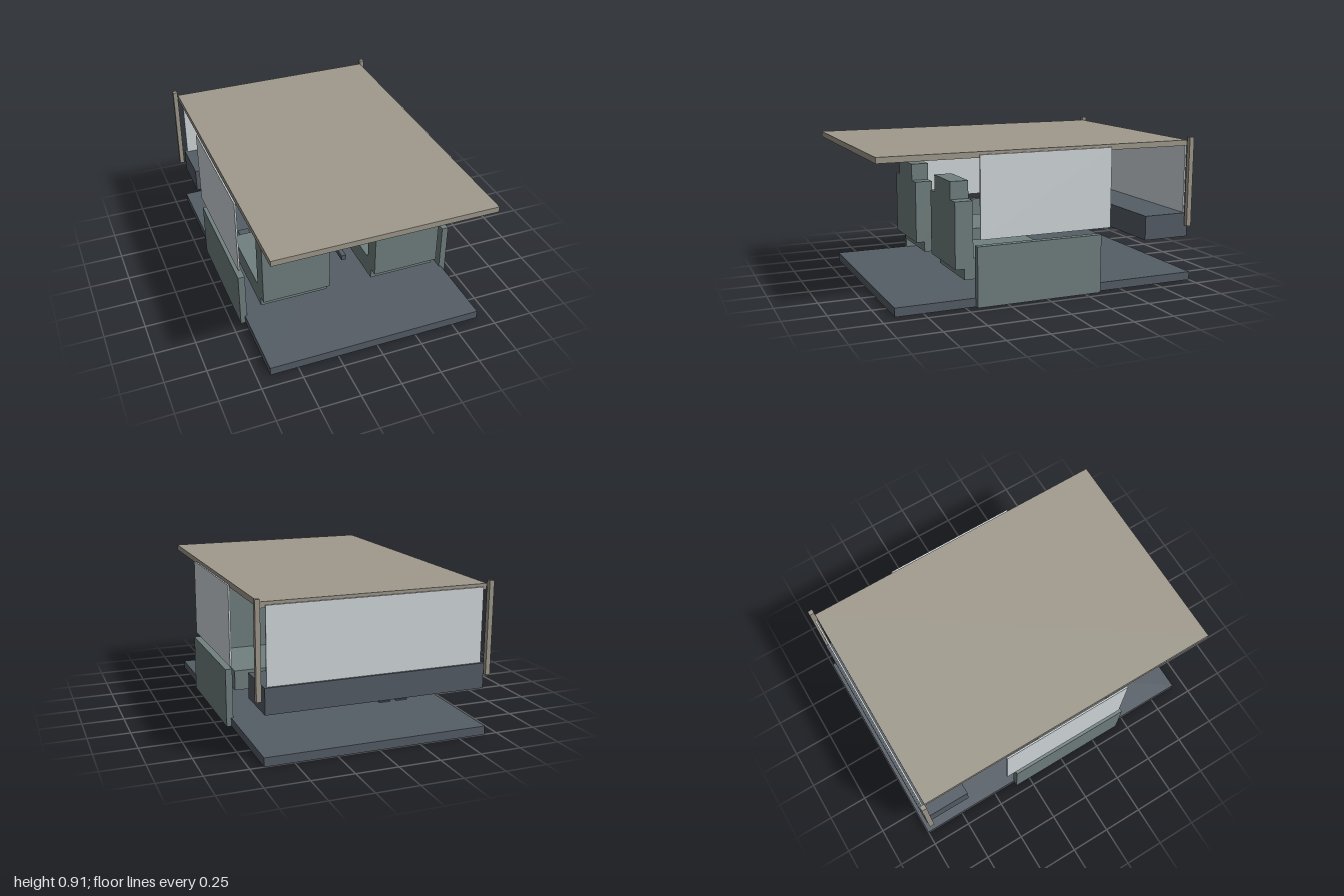
import * as THREE from 'three';

const mat = (color) => new THREE.MeshStandardMaterial({ color });
const dark = mat(0x555d66);
const fabric = mat(0x71807f);
const beige = mat(0xa09a8d);
const glass = mat(0xd3dadd);
const metal = mat(0x6c7070);

// Box given by its min and max along each axis
function box(name, material, [x0, x1], [y0, y1], [z0, z1]) {
  const mesh = new THREE.Mesh(new THREE.BoxGeometry(x1 - x0, y1 - y0, z1 - z0), material);
  mesh.position.set((x0 + x1) / 2, (y0 + y1) / 2, (z0 + z1) / 2);
  mesh.name = name;
  return mesh;
}

// Square outline with chamfered corners
function chamferedSquare(PathType, r, c) {
  const pts = [[r, c - r], [r, r - c], [r - c, r], [c - r, r], [-r, r - c], [-r, c - r], [c - r, -r], [r - c, -r]];
  return new PathType(pts.map(([x, y]) => new THREE.Vector2(x, y)));
}

function createSeat(x) {
  const seat = new THREE.Group();
  seat.name = 'seat';
  const pedestal = new THREE.Mesh(new THREE.CylinderGeometry(0.043, 0.043, 0.135, 24), metal);
  pedestal.name = 'seatPedestal';
  pedestal.position.set(0, 0.0675, 0.2);
  seat.add(
    pedestal,
    box('seatCushion', fabric, [-0.212, 0.212], [0.135, 0.26], [-0.1, 0.47]),
    box('seatBack', fabric, [-0.212, 0.212], [0.2, 0.595], [0.415, 0.525]),
    box('headrest', fabric, [-0.138, 0.138], [0.595, 0.7], [0.415, 0.525]),
  );
  seat.position.x = x;
  return seat;
}

function createSteeringWheel() {
  const wheel = new THREE.Group();
  wheel.name = 'steeringWheel';
  const shape = chamferedSquare(THREE.Shape, 0.133, 0.03);
  shape.holes.push(chamferedSquare(THREE.Path, 0.108, 0.022));
  const rim = new THREE.Mesh(new THREE.ExtrudeGeometry(shape, { depth: 0.025, bevelEnabled: false }), dark);
  rim.name = 'steeringRim';
  rim.position.z = -0.0125;
  wheel.add(
    rim,
    box('steeringSpoke', dark, [-0.11, 0.11], [-0.012, 0.012], [-0.01, 0.01]),
    box('steeringHub', dark, [-0.03, 0.03], [-0.03, 0.03], [-0.012, 0.012]),
  );
  wheel.position.set(-0.36, 0.453, -0.462);
  return wheel;
}

export function createModel() {
  const model = new THREE.Group();
  model.name = 'vehicleCabin';

  // Shell
  model.add(
    box('floor', dark, [-0.67, 0.67], [0, 0.052], [-1, 0.915]),
    box('roof', beige, [-0.67, 0.67], [0.852, 0.886], [-0.947, 1]),
    box('windscreen', glass, [-0.64, 0.64], [0.4, 0.87], [-0.966, -0.956]),
  );

  // Dashboard and instruments
  model.add(
    box('dashboard', dark, [-0.655, 0.655], [0.28, 0.43], [-0.98, -0.68]),
    box('instrumentPanel', dark, [-0.48, -0.24], [0.36, 0.51], [-0.685, -0.668]),
    box('instrumentKnob', metal, [-0.368, -0.352], [0.437, 0.45], [-0.67, -0.655]),
    createSteeringWheel(),
  );

  // Pedals on the driver's side
  for (const x of [-0.42, -0.305]) {
    model.add(box('pedal', dark, [x - 0.036, x + 0.036], [0.05, 0.06], [-0.414, -0.33]));
  }

  // Gear lever and handbrake
  model.add(
    box('gearLever', dark, [-0.01, 0.01], [0.05, 0.25], [-0.01, 0.01]),
    box('gearKnob', dark, [-0.025, 0.025], [0.25, 0.3], [-0.025, 0.025]),
    box('handbrake', dark, [0.064, 0.095], [0.1, 0.135], [-0.02, 0.2]),
  );

  // Mirrored seats, doors, side windows and pillars
  for (const s of [-1, 1]) {
    const span = (a, b) => (s > 0 ? [a, b] : [-b, -a]);
    model.add(
      createSeat(s * 0.362),
      box('door', fabric, span(0.657, 0.698), [0, 0.355], [-0.35, 0.437]),
      box('sideWindow', glass, span(0.677, 0.687), [0.39, 0.87], [-0.415, 0.415]),
      box('pillar', beige, span(0.672, 0.7), [0.355, 0.906], [-0.977, -0.947]),
    );
  }
  return model;
}
